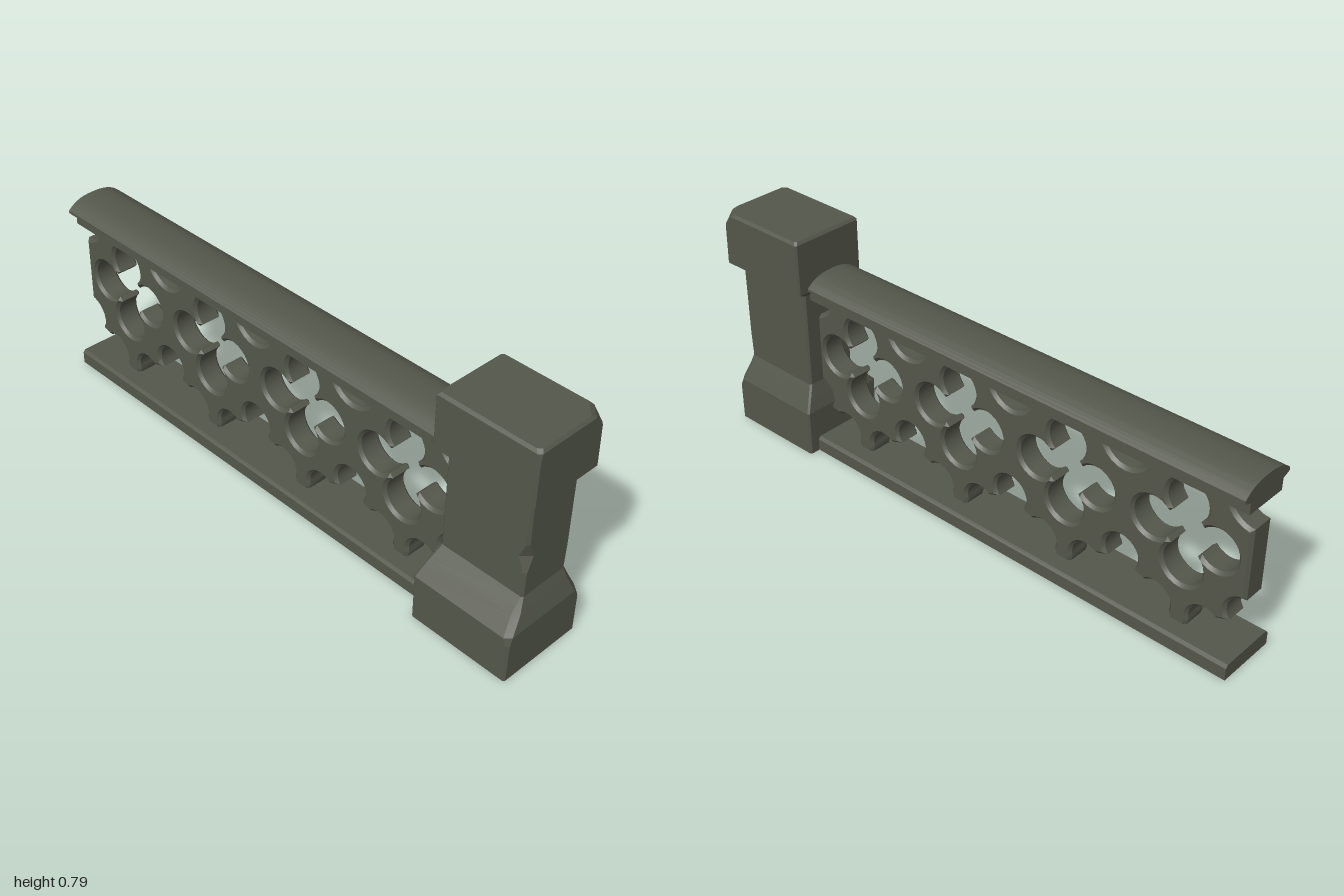
import * as THREE from 'three';
import { toCreasedNormals } from 'three/addons/utils/BufferGeometryUtils.js';

const AXIS = 0.013;      // x of the railing centre line
const PITCH = 0.423;     // spacing of the tracery bays
const FIRST = -0.482;    // first bay centre, measured along -z
const BAYS = 4;

export function createModel() {
  const stone = new THREE.MeshStandardMaterial({ color: 0x54574b });
  stone.name = 'weathered stone';
  const model = new THREE.Group();
  model.name = 'balustrade';

  const add = (name, geometry, crease = 0.5) => {
    const mesh = new THREE.Mesh(toCreasedNormals(geometry, crease), stone);
    mesh.name = name;
    model.add(mesh);
    return mesh;
  };

  add('post', postGeometry(), 0.1);

  // Handrail: narrow bed, projecting lip and domed top
  const rail = new THREE.Shape();
  rail.moveTo(-0.075, 0.556);
  rail.lineTo(0.075, 0.556);
  rail.lineTo(0.075, 0.594);
  rail.lineTo(0.095, 0.602);
  rail.lineTo(0.1025, 0.606);
  rail.lineTo(0.1025, 0.615);
  rail.bezierCurveTo(0.075, 0.642, 0.045, 0.65, 0, 0.65);
  rail.bezierCurveTo(-0.045, 0.65, -0.075, 0.642, -0.1025, 0.615);
  rail.lineTo(-0.1025, 0.606);
  rail.lineTo(-0.095, 0.602);
  rail.lineTo(-0.075, 0.594);
  add('handrail', alongRailing(rail));

  // Plinth strip below the tracery
  const plinth = new THREE.Shape([
    [-0.1025, 0], [0.1025, 0], [0.1025, 0.042], [0.094, 0.052], [-0.094, 0.052], [-0.1025, 0.042],
  ].map(([x, y]) => new THREE.Vector2(x, y)));
  add('plinth', alongRailing(plinth), 0.3);

  // Pierced panel, drawn along -z and then turned into place
  const depth = 0.088, bevel = 0.01;
  const panel = new THREE.ExtrudeGeometry(panelShape(), {
    depth: depth - 2 * bevel, bevelEnabled: true, bevelSegments: 1,
    bevelSize: bevel, bevelThickness: bevel, bevelOffset: -bevel, curveSegments: 8,
  });
  panel.translate(0, 0, -depth / 2 + bevel);
  panel.rotateY(Math.PI / 2);
  panel.translate(AXIS, 0, 0);
  add('traceryPanel', panel, 0.55);

  return model;
}

// Sweep a cross-section from the open end into the post
function alongRailing(shape) {
  const g = new THREE.ExtrudeGeometry(shape, { depth: 1.68, bevelEnabled: false, curveSegments: 10 });
  g.translate(AXIS, 0, -1);
  return g;
}

// Points of an arc, angles in degrees
function arc(cx, cy, r, from, to, n = 12) {
  return Array.from({ length: n + 1 }, (_, i) => {
    const a = THREE.MathUtils.degToRad(from + (to - from) * i / n);
    return new THREE.Vector2(cx + r * Math.cos(a), cy + r * Math.sin(a));
  });
}

function panelShape() {
  const start = FIRST - PITCH / 2, end = 1;
  const pts = [];
  // Lower edge: three-lobed openings separated by small feet
  for (let i = 0; i <= BAYS; i++) {
    const c = i === BAYS ? end : start + i * PITCH;
    if (i > 0) {
      pts.push(new THREE.Vector2(c - 0.185, 0.045));
      pts.push(...arc(c - 0.125, 0.09, 0.056, 200, 50));
      pts.push(...arc(c, 0.185, 0.06, 218, 90, 9));
    }
    if (i < BAYS) {
      const top = arc(c, 0.185, 0.06, 90, -38, 9);
      pts.push(...(i > 0 ? top.slice(1) : top));
      pts.push(...arc(c + 0.125, 0.09, 0.056, 130, -20));
      pts.push(new THREE.Vector2(c + 0.185, 0.045));
    }
  }
  // Upper edge: half-round scallops
  for (let i = BAYS; i >= 0; i--) {
    const c = i === BAYS ? end : start + i * PITCH;
    const a = i === BAYS ? 270 : 360, b = i === 0 ? 270 : 180;
    pts.push(...arc(c, 0.568, 0.082, a, b));
  }
  const shape = new THREE.Shape(pts);

  // Quatrefoil openings
  for (let i = 0; i < BAYS; i++) {
    const c = FIRST + i * PITCH, hole = [];
    for (let k = 0; k < 4; k++) {
      const t = k * Math.PI / 2;
      hole.push(...arc(c + 0.109 * Math.cos(t), 0.365 + 0.109 * Math.sin(t), 0.068,
        k * 90 - 138, k * 90 + 138, 20));
    }
    shape.holes.push(new THREE.Path(hole));
  }
  return shape;
}

// Post: chamfered rectangular sections lofted upwards
function postGeometry() {
  // y, x0, x1, z0, z1, chamfer, front right chip, front left chip
  const sections = [
    [0, -0.153, 0.152, 0.65, 1, 0.006, 0, 0],
    [0.13, -0.153, 0.152, 0.65, 1, 0.006, 0, 0.004],
    [0.157, -0.153, 0.152, 0.65, 1, 0.006, 0.015, 0.012],
    [0.205, -0.11, 0.131, 0.662, 0.985, 0.006, 0.015, 0.012],
    [0.245, -0.072, 0.112, 0.674, 0.97, 0.006, 0.004, 0],
    [0.33, -0.072, 0.112, 0.674, 0.97, 0.006, 0, 0.002],
    [0.38, -0.072, 0.112, 0.674, 0.97, 0.006, 0, 0.022],
    [0.43, -0.072, 0.112, 0.674, 0.97, 0.006, 0, 0.002],
    [0.577, -0.072, 0.112, 0.674, 0.97, 0.006, 0, 0],
    [0.602, -0.112, 0.152, 0.65, 1, 0.006, 0, 0],
    [0.74, -0.112, 0.152, 0.65, 1, 0.006, 0.004, 0],
    [0.777, -0.112, 0.152, 0.65, 1, 0.006, 0.035, 0.004],
    [0.786, -0.104, 0.144, 0.658, 0.992, 0.006, 0.04, 0.006],
  ];
  const pos = [], idx = [];
  for (const [y, x0, x1, z0, z1, c, chipR, chipL] of sections) {
    const r = c + chipR, l = c + chipL;
    const ring = [
      [x1 - r, z1], [x1, z1 - r], [x1, z0 + c], [x1 - c, z0],
      [x0 + c, z0], [x0, z0 + c], [x0, z1 - l], [x0 + l, z1],
    ];
    ring.forEach(([x, z]) => pos.push(x, y, z));
  }
  const n = 8, last = (sections.length - 1) * n;
  for (let s = 0; s < last; s += n) {
    for (let i = 0; i < n; i++) {
      const a = s + i, b = s + (i + 1) % n;
      idx.push(a, b, b + n, a, b + n, a + n);
    }
  }
  // Bottom and top faces
  for (let i = 1; i < n - 1; i++) {
    idx.push(0, i + 1, i, last, last + i, last + i + 1);
  }
  const g = new THREE.BufferGeometry();
  g.setAttribute('position', new THREE.Float32BufferAttribute(pos, 3));
  g.setIndex(idx);
  g.computeVertexNormals();
  return g;
}
